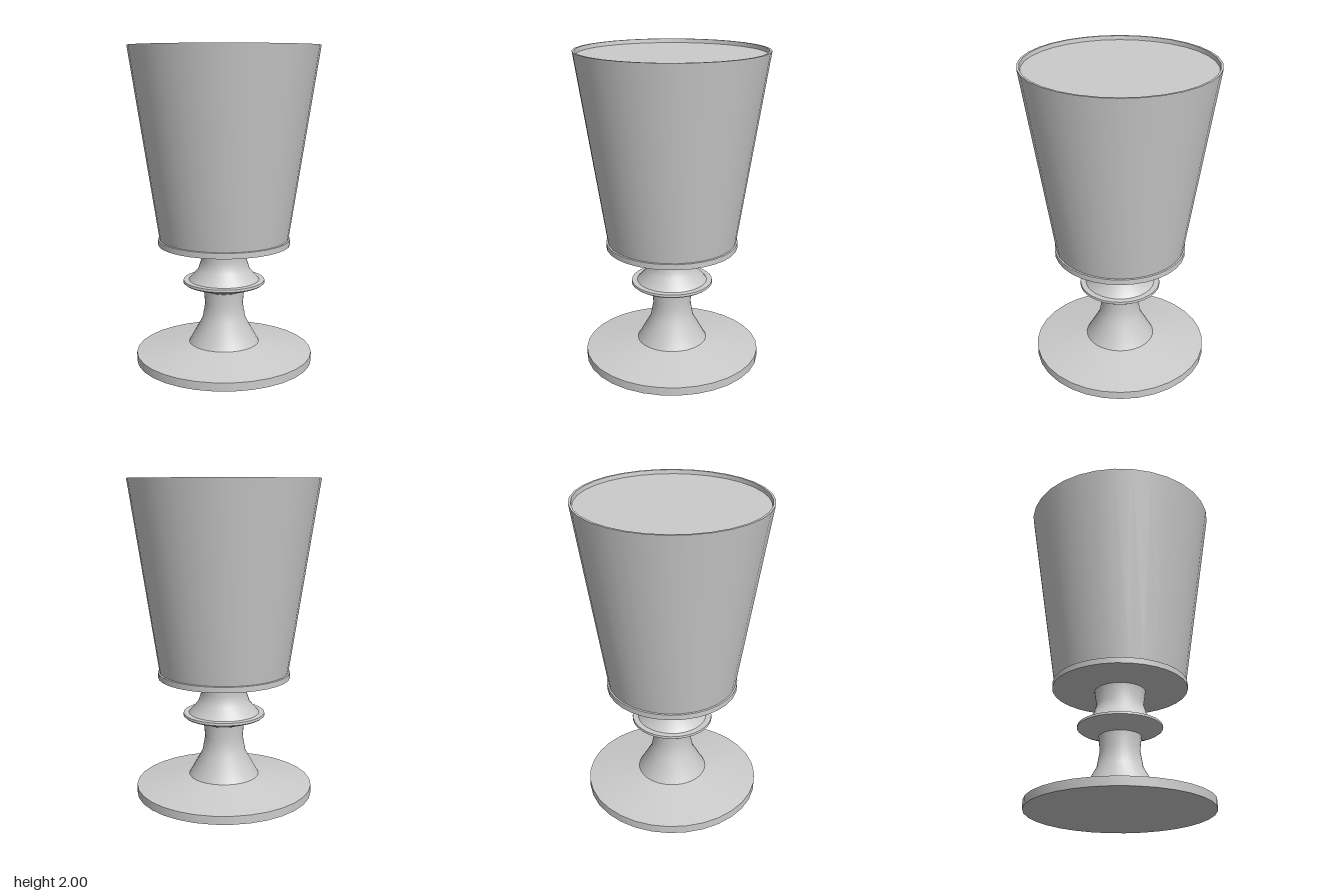
import * as THREE from 'three';
import { toCreasedNormals } from 'three/addons/utils/BufferGeometryUtils.js';

const SIDES = 32;

export function createModel() {
  const group = new THREE.Group();
  const material = new THREE.MeshStandardMaterial({ color: 0xcccccc });

  // Turns a profile of [radius, height] points, keeping hard edges sharp
  const turn = (name, profile) => {
    const points = profile.map(([r, y]) => new THREE.Vector2(r, y));
    const geometry = toCreasedNormals(new THREE.LatheGeometry(points, SIDES), 0.6);
    const mesh = new THREE.Mesh(geometry, material);
    mesh.name = name;
    group.add(mesh);
  };

  // Flat disc with a gently sloping top
  turn('foot', [[0, 0], [0.565, 0], [0.565, 0.053], [0.225, 0.113]]);

  // Waisted stem below the collar
  turn('lowerStem', [[0.225, 0.113], [0.14, 0.265], [0.122, 0.365], [0.13, 0.457]]);

  // Thin-edged collar around the stem
  turn('collar', [[0.13, 0.457], [0.252, 0.502], [0.262, 0.51], [0.26, 0.525], [0.225, 0.526]]);

  // Short flared neck under the bowl
  turn('upperStem', [[0.225, 0.526], [0.165, 0.595], [0.145, 0.66], [0.158, 0.749]]);

  // Band around the bottom of the bowl
  turn('bowlBand', [[0.158, 0.749], [0.42, 0.76], [0.42, 0.795], [0.41, 0.797]]);

  // Tapered bowl: outer wall, rim, inner wall and floor
  turn('bowl', [[0.41, 0.797], [0.592, 2], [0.578, 2], [0.4, 0.83], [0, 0.83]]);

  // Drink filling the bowl almost to the rim
  turn('liquid', [[0.574, 1.975], [0, 1.975]]);

  return group;
}
